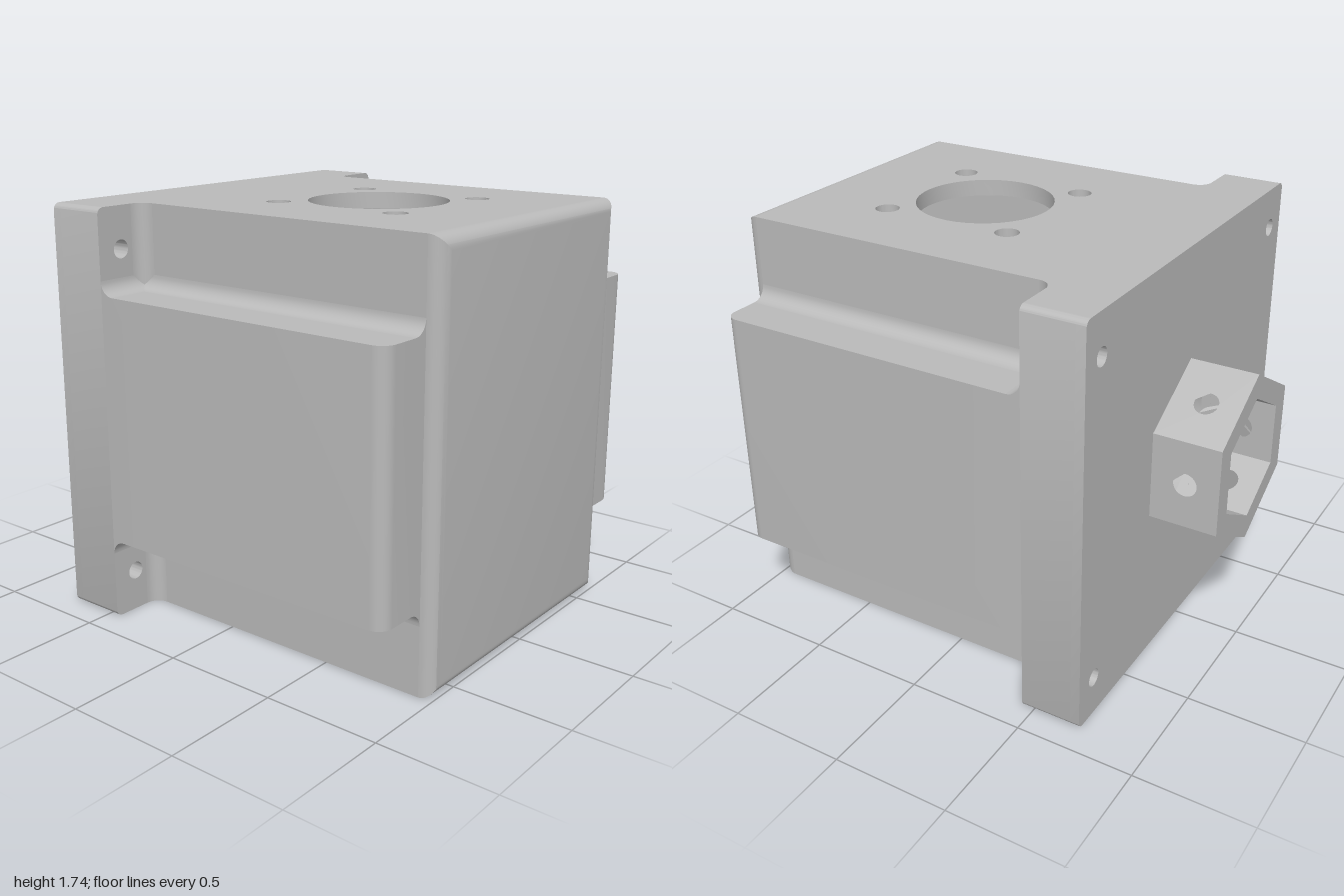
import * as THREE from 'three';
import { toCreasedNormals } from 'three/addons/utils/BufferGeometryUtils.js';

const W = 0.65, PW = 0.885, H = 1.74, MID = H / 2;   // body half width, plate half width, height
const BACK = -0.71, STEP = -0.45, BAY = -0.08, FRONT = 0.94, WALL = 0.07;
const R = 0.06;                                       // fillet radius
const WING = [0.35, 1.39];                            // lower and upper wing faces

export function createModel() {
  const model = new THREE.Group();
  const grey = new THREE.MeshStandardMaterial({ color: 0xbababa });
  grey.name = 'grey';

  const add = (name, geo, parent = model) => {
    const mesh = new THREE.Mesh(toCreasedNormals(geo, 0.5), grey);
    mesh.name = name;
    parent.add(mesh);
    return mesh;
  };
  const polygon = (pts) => new THREE.Shape(pts.map(([a, b]) => new THREE.Vector2(a, b)));
  const circle = (x, y, r) => new THREE.Path().absarc(x, y, r, 0, Math.PI * 2, true);
  const rect = (x0, y0, x1, y1) => polygon([[x0, y0], [x1, y0], [x1, y1], [x0, y1]]);
  const extrude = (shape, depth) =>
    new THREE.ExtrudeGeometry(shape, { depth, bevelEnabled: false, curveSegments: 20 });
  // Shapes are drawn as (x, y), (x, -z) and (-z, y) for the three directions
  const alongZ = (shape, z0, z1) => extrude(shape, z1 - z0).translate(0, 0, z0);
  const alongY = (shape, y0, y1) => extrude(shape, y1 - y0).rotateX(-Math.PI / 2).translate(0, y0, 0);
  const alongX = (shape, x0, x1) => extrude(shape, x1 - x0).rotateY(Math.PI / 2).translate(x0, 0, 0);

  // Filler with a concave quarter-round face, in the corner (a, b)
  const fillet = (a, b, sa, sb) => {
    const pts = [[a, b]];
    for (let i = 0; i <= 8; i++) {
      const t = (i / 8) * Math.PI / 2;
      pts.push([a + sa * R * (1 - Math.sin(t)), b + sb * R * (1 - Math.cos(t))]);
    }
    return polygon(pts);
  };

  // Back plate: thin layer with the hexagonal opening, thick layer with a round bore
  const hexPath = (r) => {
    const pts = [];
    for (let i = 0; i < 6; i++) {
      const t = Math.PI / 2 + i * Math.PI / 3;
      pts.push(new THREE.Vector2(r * Math.cos(t), MID + r * Math.sin(t)));
    }
    return new THREE.Path(pts);
  };
  const plateShape = (bore) => {
    const c = 0.03, s = new THREE.Shape();
    s.absarc(PW - c, c, c, -Math.PI / 2, 0);
    s.absarc(PW - c, H - c, c, 0, Math.PI / 2);
    s.absarc(-PW + c, H - c, c, Math.PI / 2, Math.PI);
    s.absarc(-PW + c, c, c, Math.PI, Math.PI * 1.5);
    s.holes.push(bore);
    for (const x of [-0.77, 0.77]) for (const y of [0.175, 1.565]) s.holes.push(circle(x, y, 0.038));
    return s;
  };
  add('backPlateFace', alongZ(plateShape(hexPath(0.271)), BACK, BACK + 0.04));
  add('backPlate', alongZ(plateShape(circle(0, MID, 0.3)), BACK + 0.04, STEP));

  // Bored block between the plate and the inner bay
  const block = rect(-W, 0, W, H);
  block.holes.push(circle(0, MID, 0.3));
  add('boredBlock', alongZ(block, STEP, BAY));

  // Top and bottom covers with the large opening and four screw holes
  const cover = rect(-W, -FRONT, W, -BAY);
  cover.holes.push(circle(0, -0.26, 0.29));
  for (const x of [-0.29, 0.29]) for (const z of [-0.029, 0.55]) cover.holes.push(circle(x, -z, 0.05));
  add('bottomCover', alongY(cover, 0, WALL));
  add('topCover', alongY(cover, H - WALL, H));

  // Front panel with rounded edges mitred at the corners
  const rings = [];
  for (let i = 0; i <= 8; i++) {
    const t = (i / 8) * Math.PI / 2, d = R * (1 - Math.cos(t)), z = FRONT + R * Math.sin(t);
    rings.push([[-W + d, d, z], [W - d, d, z], [W - d, H - d, z], [-W + d, H - d, z]]);
  }
  const verts = [];
  const quad = (a, b, c, d) => verts.push(...a, ...b, ...c, ...a, ...c, ...d);
  for (let i = 0; i < 8; i++) {
    for (let k = 0; k < 4; k++) {
      const n = (k + 1) % 4;
      quad(rings[i][k], rings[i][n], rings[i + 1][n], rings[i + 1][k]);
    }
  }
  quad(...rings[8]);
  quad(...[...rings[0]].reverse());
  const panel = new THREE.BufferGeometry();
  panel.setAttribute('position', new THREE.Float32BufferAttribute(verts, 3));
  add('frontPanel', panel);

  // Both sides: bay wall, wing with a rounded outer edge, and fillets
  for (const s of [-1, 1]) {
    const side = new THREE.Group();
    side.name = s > 0 ? 'leftSide' : 'rightSide';
    model.add(side);
    const [x0, x1] = s > 0 ? [W, PW] : [-PW, -W];

    const bayX = 0.41;
    add('bayWall', alongY(rect(s > 0 ? bayX : -W, -FRONT, s > 0 ? W : -bayX, -BAY), WALL, H - WALL), side);

    const pts = [[s * W, -STEP], [s * PW, -STEP]];
    for (let i = 0; i <= 8; i++) {
      const t = (i / 8) * Math.PI / 2;
      pts.push([s * (PW - R + R * Math.cos(t)), -(FRONT - R + R * Math.sin(t))]);
    }
    pts.push([s * W, -FRONT]);
    add('wing', alongY(polygon(pts), ...WING), side);

    add('plateFillet', alongY(fillet(s * W, -STEP, s, -1), 0, H), side);
    WING.forEach((y, i) => {
      const up = i ? 1 : -1;
      add('wingBodyFillet', alongZ(fillet(s * W, y, s, up), STEP, FRONT), side);
      add('wingPlateFillet', alongX(fillet(-STEP, y, -1, up), x0, x1), side);
    });
  }

  // Hexagonal socket of six mitred walls, each with a cross hole
  const socket = new THREE.Group();
  socket.name = 'hexSocket';
  socket.position.y = MID;
  model.add(socket);
  const outer = 0.327, inner = 0.235, tan = Math.tan(Math.PI / 6);
  const wall = rect(-1, BACK, 1, -1);
  wall.holes.push(circle(0, -0.855, 0.05));
  const wallGeo = extrude(wall, outer - inner);
  const p = wallGeo.attributes.position;
  for (let i = 0; i < p.count; i++) {
    const t = p.getX(i), z = p.getY(i), r = inner + p.getZ(i);
    p.setXYZ(i, r, Math.abs(t) > 0.9 ? Math.sign(t) * r * tan : t, z);
  }
  for (let i = 0; i < 6; i++) add('socketWall', wallGeo.clone().rotateZ(i * Math.PI / 3), socket);

  return model;
}
